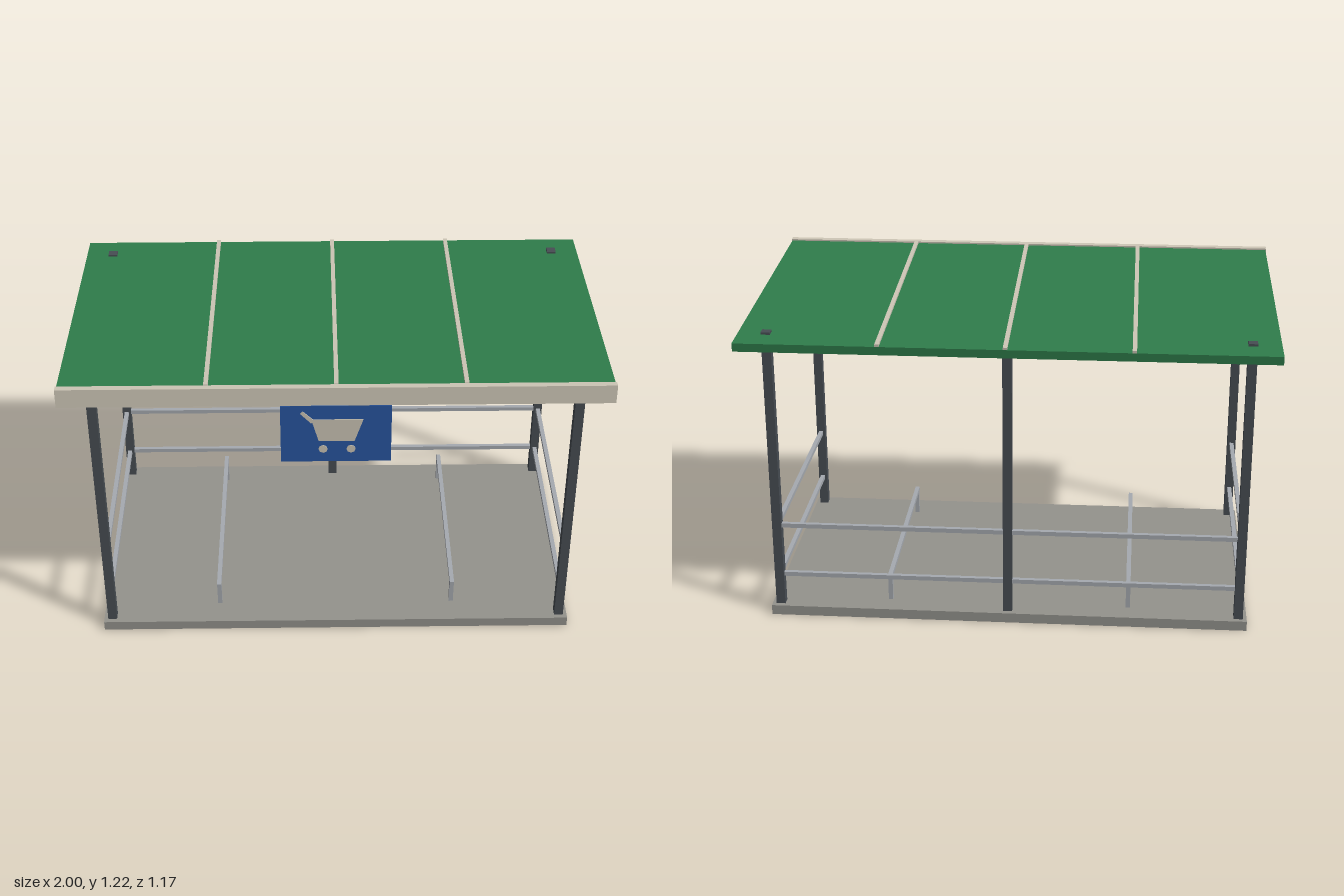
import * as THREE from 'three';

export function createModel() {
  const model = new THREE.Group();
  model.name = 'cartShelter';

  const mat = (name, color) => {
    const m = new THREE.MeshStandardMaterial({ color });
    m.name = name;
    return m;
  };
  const concrete = mat('concrete', 0x94938d);
  const darkSteel = mat('darkSteel', 0x474d53);
  const railSteel = mat('railSteel', 0xa6aab0);
  const green = mat('roofGreen', 0x2f7d4b);
  const cream = mat('cream', 0xcdc6b6);
  const blue = mat('signBlue', 0x2855a0);

  const add = (name, geometry, material, x, y, z, parent = model) => {
    const mesh = new THREE.Mesh(geometry, material);
    mesh.name = name;
    mesh.position.set(x, y, z);
    parent.add(mesh);
    return mesh;
  };
  // Box given by its lower and upper corners
  const box = (name, material, a, b, parent) => add(name,
    new THREE.BoxGeometry(b[0] - a[0], b[1] - a[1], b[2] - a[2]), material,
    (a[0] + b[0]) / 2, (a[1] + b[1]) / 2, (a[2] + b[2]) / 2, parent);

  // Ground slab
  box('slab', concrete, [-0.9225, 0.001, -0.514], [0.9225, 0.04, 0.505]);

  // Posts: two at the front, three along the back
  const post = (name, x, z, bottom, top) =>
    box(name, darkSteel, [x - 0.0175, bottom, z - 0.0175], [x + 0.0175, top, z + 0.0175]);
  const backZ = -0.4775, frontZ = 0.4675;
  for (const s of [-1, 1]) {
    post('frontPost', s * 0.89, frontZ, 0.03, 1.112);
    post('backPost', s * 0.89, backZ, 0, 1.16);
  }
  post('middleBackPost', 0, backZ, 0, 1.14);

  // Guard rails on the back and both sides
  const r = 0.0085;
  for (const y of [0.165, 0.373]) {
    box('backRail', railSteel, [-0.885, y - r, backZ - r], [0.885, y + r, backZ + r]);
    for (const s of [-1, 1]) {
      box('sideRail', railSteel, [s * 0.89 - r, y - r, backZ], [s * 0.89 + r, y + r, frontZ]);
    }
  }

  // Low divider rails on short legs
  for (const x of [-0.465, 0.465]) {
    box('dividerRail', railSteel, [x - r, 0.133, -0.444], [x + r, 0.15, 0.41]);
    for (const z of [0.389, -0.422]) {
      box('dividerLeg', railSteel, [x - r, 0.035, z - r], [x + r, 0.134, z + r]);
    }
  }

  // Sloping roof with seams and a front fascia
  const roof = new THREE.Group();
  roof.name = 'roof';
  roof.position.set(0, 1.161, -0.0125);
  roof.rotation.x = -0.054;
  model.add(roof);
  box('roofPanel', green, [-0.995, -0.016, -0.573], [0.995, 0.016, 0.573], roof);
  for (const x of [-0.465, 0, 0.465]) {
    box('roofSeam', cream, [x - 0.008, 0.015, -0.572], [x + 0.008, 0.025, 0.573], roof);
  }
  box('fascia', cream, [-0.998, -0.051, 0.573], [0.998, 0.022, 0.599], roof);

  // Hanging sign
  const sign = new THREE.Group();
  sign.name = 'sign';
  model.add(sign);
  box('signHanger', darkSteel, [-0.008, 1.05, 0.45], [0.008, 1.16, 0.465], sign);
  box('signBoard', blue, [-0.205, 0.803, 0.45], [0.205, 1.055, 0.466], sign);

  // Painted trolley on the sign
  const plate = (name, pts) => add(name, new THREE.ExtrudeGeometry(
    new THREE.Shape(pts.map(p => new THREE.Vector2(...p))),
    { depth: 0.004, bevelEnabled: false }), cream, 0, 0, 0.465, sign);
  plate('trolleyBasket', [[-0.064, 0.898], [0.069, 0.898], [0.101, 0.995], [-0.091, 0.995]]);
  plate('trolleyHandle', [[-0.132, 1.022], [-0.091, 0.978], [-0.082, 0.993], [-0.122, 1.031]]);
  for (const x of [-0.048, 0.056]) {
    const wheel = add('trolleyWheel', new THREE.CylinderGeometry(0.017, 0.017, 0.004, 8),
      cream, x, 0.861, 0.467, sign);
    wheel.rotation.x = Math.PI / 2;
  }

  return model;
}
